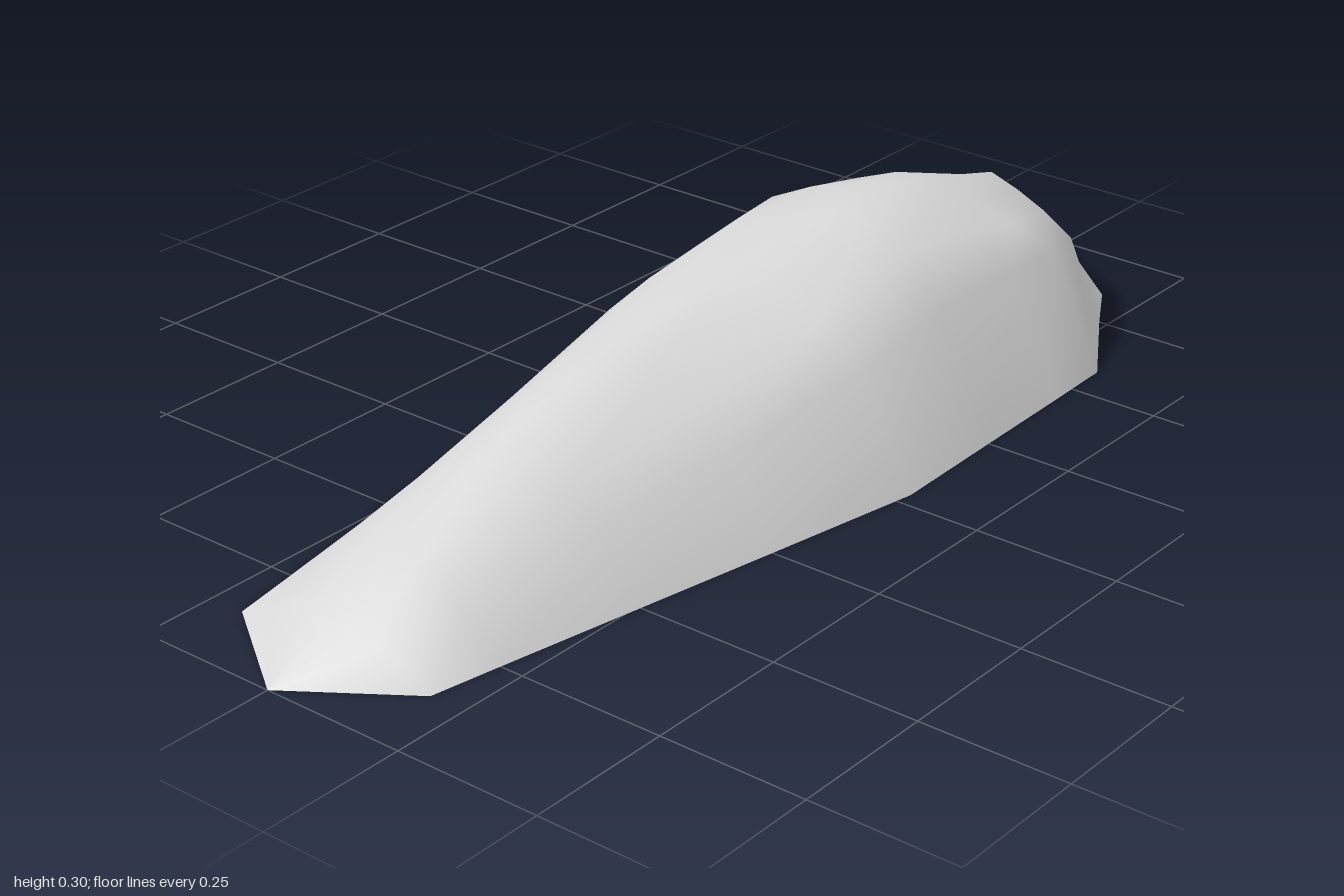
import * as THREE from 'three';

// Shares of the half width, from front edge to back edge
const shares = [1, 0.72, 0.48, 0.24, 0, -0.24, -0.48, -0.72, -1];

// Cross-sections along the length: x, half width, heights between the two edges
const stations = [
  [-1, 0, [0, 0, 0, 0, 0, 0, 0]],
  [-0.87, 0.187, [0.03, 0.045, 0.055, 0.06, 0.055, 0.04, 0.02]],
  [-0.75, 0.209, [0.06, 0.095, 0.11, 0.115, 0.11, 0.09, 0.05]],
  [-0.5, 0.256, [0.11, 0.16, 0.195, 0.2, 0.18, 0.13, 0.07]],
  [-0.25, 0.303, [0.14, 0.19, 0.235, 0.262, 0.235, 0.17, 0.1]],
  [0.03, 0.355, [0.18, 0.235, 0.27, 0.282, 0.265, 0.22, 0.14]],
  [0.25, 0.349, [0.21, 0.28, 0.303, 0.303, 0.275, 0.25, 0.18]],
  [0.45, 0.344, [0.205, 0.25, 0.28, 0.295, 0.27, 0.245, 0.205]],
  [0.58, 0.34, [0.19, 0.22, 0.245, 0.265, 0.252, 0.22, 0.155]],
  [0.75, 0.234, [0.14, 0.175, 0.2, 0.219, 0.2, 0.165, 0.1]],
  [0.85, 0.175, [0.045, 0.08, 0.11, 0.132, 0.11, 0.08, 0.045]],
  [1, 0, [0, 0, 0, 0, 0, 0, 0]],
];

export function createModel() {
  const group = new THREE.Group();
  group.name = 'mound';
  const stone = new THREE.MeshStandardMaterial({ color: 0xd9d9d9 });
  stone.name = 'pale grey';

  // Smooth upper shell lofted through the cross-sections, closing to a point at each end
  const positions = [];
  const indices = [];
  const n = shares.length;
  const last = stations.length - 2;
  stations.forEach(([x, width, heights], i) => {
    [0, ...heights, 0].forEach((y, j) => {
      positions.push(x, y, width * shares[j]);
      if (i > last || j === n - 1) return;
      const a = i * n + j;
      const b = a + n;
      if (i < last) indices.push(a, b, b + 1);
      if (i === last) indices.push(a, b, a + 1);
      else if (i > 0) indices.push(a, b + 1, a + 1);
    });
  });
  const shellGeometry = new THREE.BufferGeometry();
  shellGeometry.setAttribute('position', new THREE.Float32BufferAttribute(positions, 3));
  shellGeometry.setIndex(indices);
  shellGeometry.computeVertexNormals();
  const shell = new THREE.Mesh(shellGeometry, stone);
  shell.name = 'shell';

  // Flat underside following the same outline
  const outline = [
    ...stations.map(([x, w]) => new THREE.Vector2(x, w)),
    ...stations.slice(1, -1).reverse().map(([x, w]) => new THREE.Vector2(x, -w)),
  ];
  const base = new THREE.Mesh(new THREE.ShapeGeometry(new THREE.Shape(outline)).rotateX(Math.PI / 2), stone);
  base.name = 'base';

  group.add(shell, base);
  return group;
}
